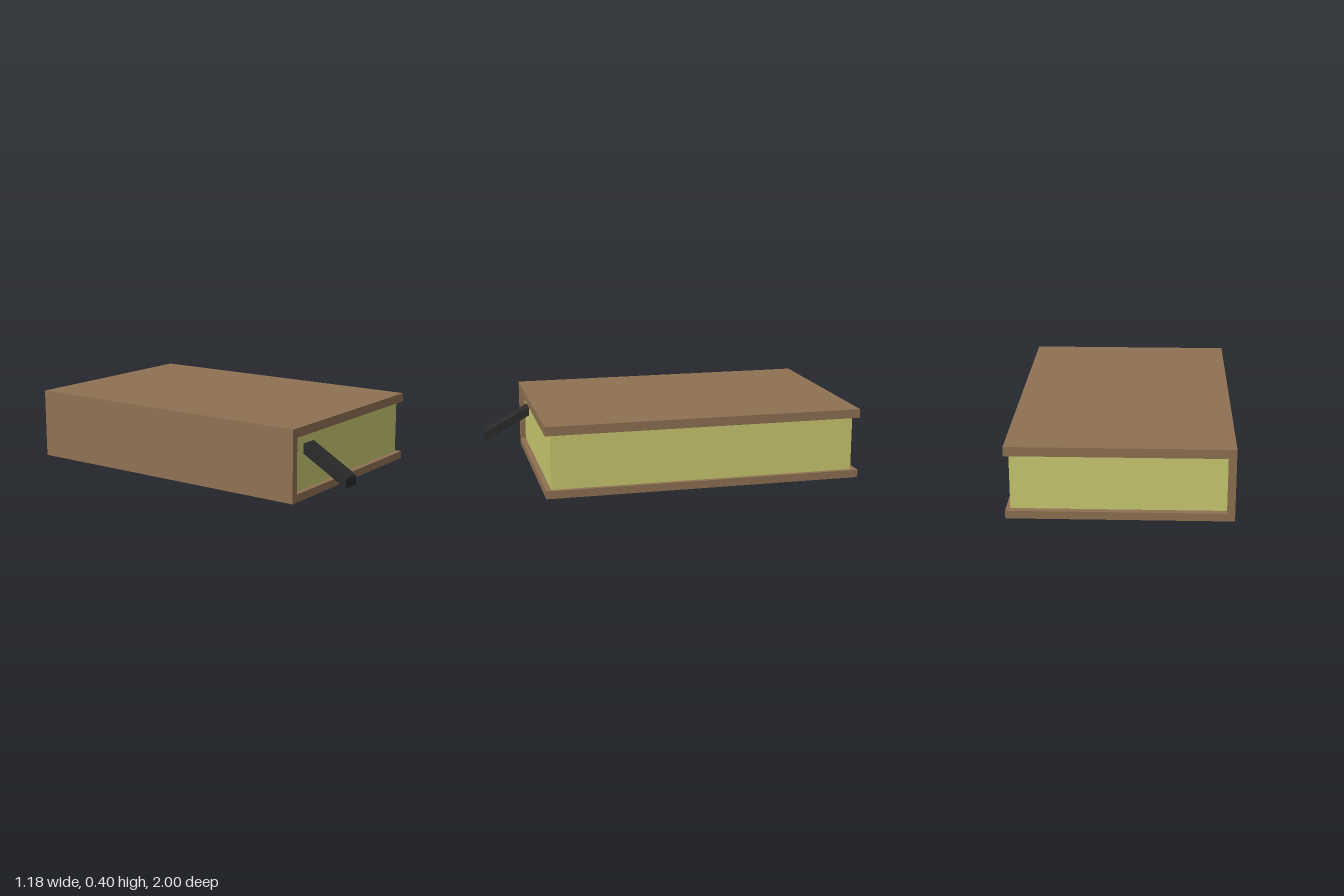
import * as THREE from 'three';

const material = (name, color) => {
  const m = new THREE.MeshStandardMaterial({ color });
  m.name = name;
  return m;
};

export function createModel() {
  const book = new THREE.Group();
  book.name = 'book';
  const leather = material('brown leather', 0x8f7152);
  const paper = material('yellowed paper', 0xc9c970);
  const ribbon = material('black ribbon', 0x2a2a2a);

  const add = (name, geometry, mat) => {
    const mesh = new THREE.Mesh(geometry, mat);
    mesh.name = name;
    book.add(mesh);
  };

  // Cover: one C-shaped section (two boards and the spine) along z
  const section = new THREE.Shape([
    [-0.59, 0], [0.59, 0], [0.59, 0.043], [-0.55, 0.043],
    [-0.55, 0.345], [0.59, 0.345], [0.59, 0.395], [-0.59, 0.395],
  ].map(([x, y]) => new THREE.Vector2(x, y)));
  const cover = new THREE.ExtrudeGeometry(section, { depth: 1.765, bevelEnabled: false });
  cover.translate(0, 0, -1);
  add('cover', cover, leather);

  // Page block, set back from the cover edges
  const pages = new THREE.BoxGeometry(1.117, 0.302, 1.7);
  pages.translate(0.0085, 0.194, -0.115);
  add('pages', pages, paper);

  // Bookmark: a sloping strip drawn in (z, y), with a vertical cut end
  const strip = new THREE.Shape([
    [0.7, 0.255], [1, 0.09], [1, 0.143], [0.7, 0.309],
  ].map(([z, y]) => new THREE.Vector2(z, y)));
  const bookmark = new THREE.ExtrudeGeometry(strip, { depth: 0.1, bevelEnabled: false });
  bookmark.rotateY(-Math.PI / 2).translate(-0.345, 0, 0);
  // Lean it slightly sideways as it comes forward
  const p = bookmark.attributes.position;
  for (let i = 0; i < p.count; i++) p.setX(i, p.getX(i) - 0.026 * (p.getZ(i) - 0.735));
  bookmark.computeVertexNormals();
  add('bookmark', bookmark, ribbon);

  return book;
}
